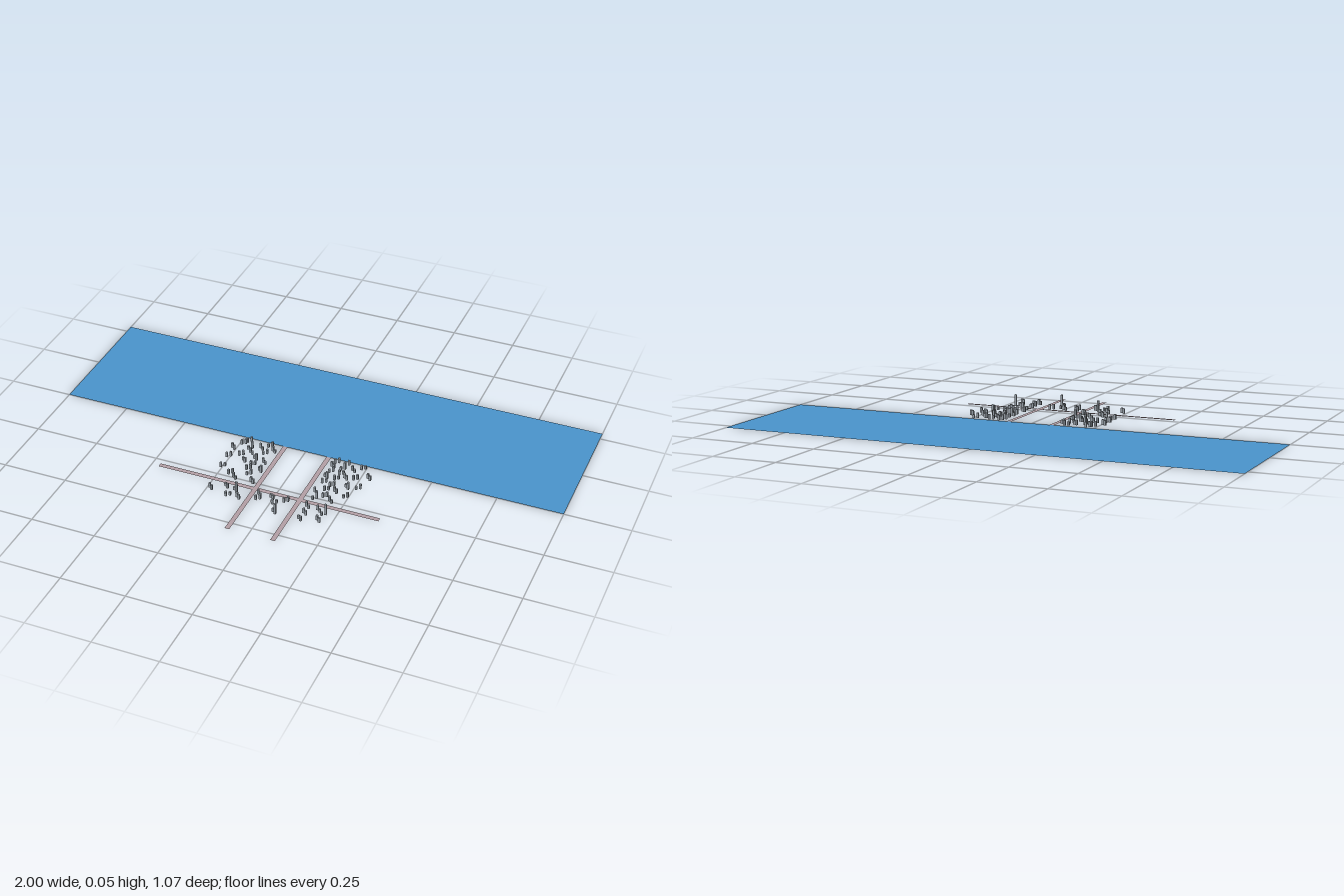
import * as THREE from 'three';

// Pairs of small buildings per city block: [x, z, slope of the pair]
const BLOCKS = {
  westBlock: [
    [-0.22, 0.02, -1], [-0.135, 0.02, -1], [-0.16, 0.045, 1], [-0.235, 0.04, -1], [-0.20, 0.06, -1],
    [-0.11, 0.045, 1], [-0.26, 0.082, 1], [-0.135, 0.07, -1], [-0.185, 0.085, 1], [-0.215, 0.11, -1],
    [-0.155, 0.115, 1], [-0.115, 0.125, 1], [-0.255, 0.135, -1], [-0.19, 0.14, 1], [-0.15, 0.15, -1],
    [-0.155, 0.18, -1], [-0.11, 0.175, 1], [-0.25, 0.20, -1], [-0.205, 0.23, -1], [-0.14, 0.21, -1],
    [-0.18, 0.25, 1], [-0.11, 0.25, 1],
  ],
  eastBlock: [
    [0.135, 0.02, -1], [0.175, 0.02, -1], [0.24, 0.02, -1], [0.13, 0.05, 1], [0.17, 0.05, -1],
    [0.21, 0.045, 1], [0.28, 0.07, 1], [0.135, 0.08, -1], [0.175, 0.08, -1], [0.235, 0.09, -1],
    [0.13, 0.12, 1], [0.17, 0.115, -1], [0.20, 0.10, 1], [0.265, 0.14, -1], [0.135, 0.15, -1],
    [0.17, 0.16, -1], [0.225, 0.15, 1], [0.16, 0.19, -1], [0.195, 0.19, 1], [0.24, 0.205, -1],
    [0.13, 0.22, 1], [0.17, 0.23, -1], [0.14, 0.255, -1], [0.20, 0.25, 1],
  ],
  southBlock: [
    [-0.235, 0.34, 1], [-0.185, 0.31, 1], [-0.16, 0.355, -1], [-0.12, 0.355, 1], [-0.145, 0.32, 1],
    [-0.055, 0.31, 1], [-0.05, 0.335, -1], [-0.005, 0.31, 1], [0.015, 0.335, -1], [0.05, 0.31, -1],
    [0.035, 0.385, 1], [0.135, 0.31, 1], [0.14, 0.35, 1], [0.135, 0.388, 1], [0.18, 0.315, 1],
    [0.20, 0.37, 1], [0.205, 0.33, -1],
  ],
};

const material = (color) => new THREE.MeshStandardMaterial({ color, side: THREE.DoubleSide });

// Flat rectangle lying on the ground
function slab(name, x0, x1, z0, z1, y, mat) {
  const geometry = new THREE.PlaneGeometry(x1 - x0, z1 - z0).rotateX(-Math.PI / 2);
  const mesh = new THREE.Mesh(geometry, mat);
  mesh.name = name;
  mesh.position.set((x0 + x1) / 2, y, (z0 + z1) / 2);
  return mesh;
}

function createBlock(name, pairs, mat, geometry) {
  const block = new THREE.Group();
  block.name = name;
  pairs.forEach(([x, z, slope], i) => {
    for (const side of [-1, 1]) {
      const building = new THREE.Mesh(geometry, mat);
      building.name = 'building';
      // Mostly low houses with an occasional taller one
      let height = (i + side) % 3 === 0 ? 0.014 : 0.02;
      if (side > 0 && i % 6 === 4) height = name === 'southBlock' ? 0.045 : 0.031;
      building.scale.set(0.008, height, 0.008);
      building.position.set(x + side * 0.006, height / 2, z + side * slope * 0.005);
      block.add(building);
    }
  });
  return block;
}

export function createModel() {
  const model = new THREE.Group();
  model.name = 'coastalTown';

  // Sea behind the shoreline
  model.add(slab('sea', -1, 1, -0.535, 0, 0.0005, material(0x4a94cc)));

  // Two avenues running from the shore and one cross street
  const road = material(0xb39fa5);
  for (const x of [-0.083, 0.093]) {
    model.add(slab('avenue', x - 0.009, x + 0.009, 0, 0.535, 0.0005, road));
  }
  model.add(slab('crossStreet', -0.47, 0.40, 0.274, 0.292, 0.001, road));

  // Buildings around the roads
  const wall = material(0x8f979f);
  const unitBox = new THREE.BoxGeometry(1, 1, 1);
  for (const [name, pairs] of Object.entries(BLOCKS)) {
    model.add(createBlock(name, pairs, wall, unitBox));
  }
  return model;
}
